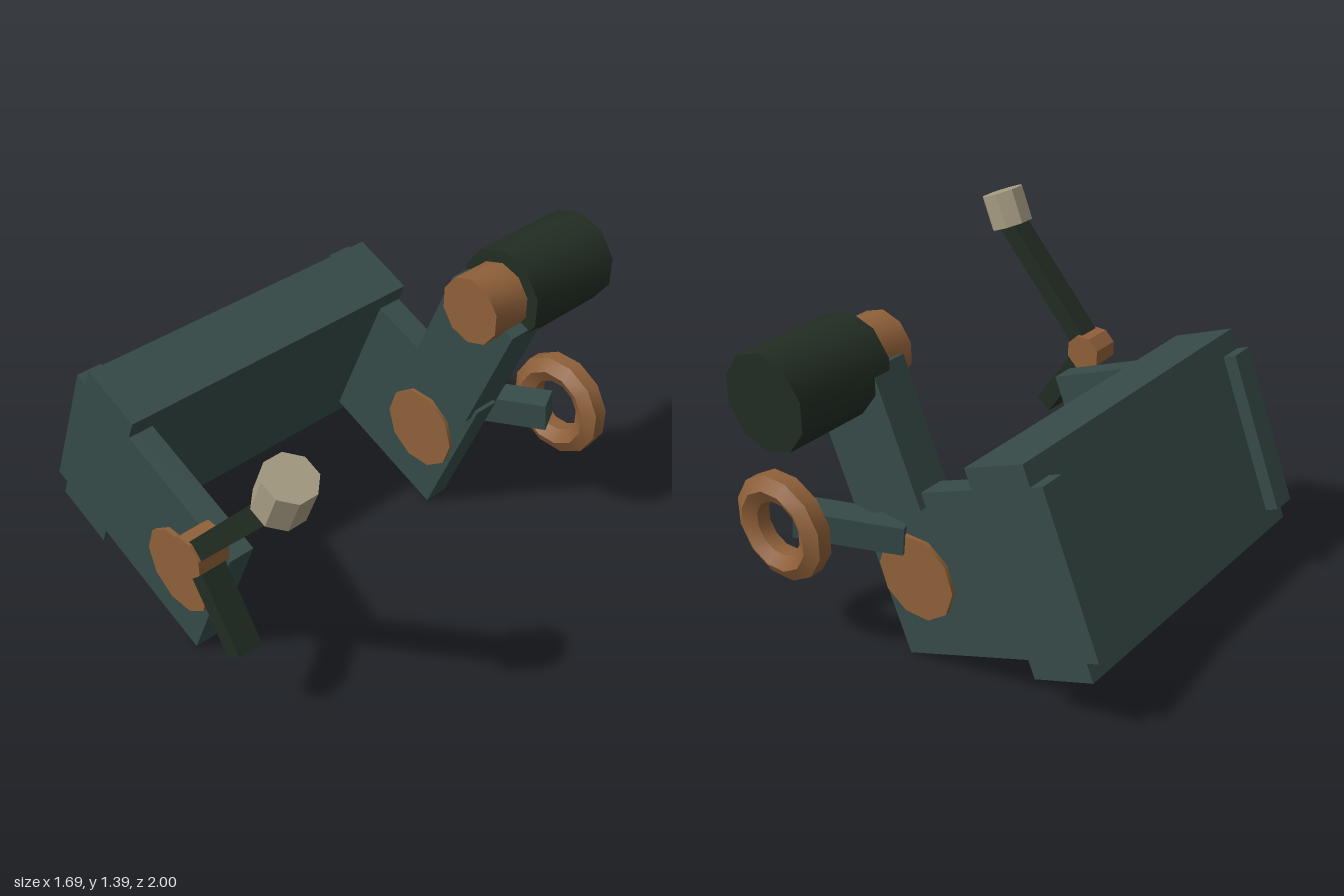
import * as THREE from 'three';
import { toCreasedNormals } from 'three/addons/utils/BufferGeometryUtils.js';

const TILT = -0.385; // lean of the whole machine, about z

export function createModel() {
  const model = new THREE.Group();
  model.name = 'crankMachine';

  const mat = (name, color) => {
    const m = new THREE.MeshStandardMaterial({ color });
    m.name = name;
    return m;
  };
  const teal = mat('darkTeal', 0x364b48);
  const copper = mat('copper', 0x8f6039);
  const dark = mat('blackGreen', 0x222d23);
  const cream = mat('cream', 0xa69c82);

  const add = (name, geometry, material, x, y, z, rotZ = 0) => {
    const mesh = new THREE.Mesh(toCreasedNormals(geometry, 0.7), material);
    mesh.name = name;
    mesh.position.set(x, y, z);
    mesh.rotation.z = rotZ;
    model.add(mesh);
    return mesh;
  };
  // Box leaning in the xy plane, spanning z0..z1
  const slab = (name, material, x, y, w, h, z0, z1, rotZ = TILT) =>
    add(name, new THREE.BoxGeometry(w, h, z1 - z0), material, x, y, (z0 + z1) / 2, rotZ);
  // Faceted cylinder along z, spanning z0..z1
  const drum = (name, material, x, y, r, sides, phase, z0, z1) =>
    add(name, new THREE.CylinderGeometry(r, r, z1 - z0, sides, 1, false, phase).rotateX(Math.PI / 2),
      material, x, y, (z0 + z1) / 2);
  // Box bar between two points in the xy plane
  const bar = (name, material, x0, y0, x1, y1, w, z0, z1) =>
    slab(name, material, (x0 + x1) / 2, (y0 + y1) / 2, w, Math.hypot(x1 - x0, y1 - y0), z0, z1,
      -Math.atan2(x1 - x0, y1 - y0));

  // Frame: spine block joining two side plates
  slab('spineBlock', teal, -0.5325, 0.6125, 0.28, 0.85, -0.599, 0.819);
  slab('frontPlate', teal, -0.27, 0.503, 0.963, 0.682, 0.71, 0.82);
  slab('backPlate', teal, -0.27, 0.503, 0.963, 0.682, -0.6, -0.49);

  // Bearing discs through each plate
  drum('frontBearing', copper, -0.006, 0.394, 0.183, 10, Math.PI / 10, 0.697, 0.84);
  drum('backBearing', copper, -0.006, 0.394, 0.183, 10, Math.PI / 10, -0.617, -0.475);

  // Motor on its support arm
  slab('motorArm', teal, 0.21, 0.912, 0.35, 0.555, -0.63, -0.46);
  drum('motorBody', dark, 0.324, 1.195, 0.193, 10, 0, -1, -0.55);
  drum('motorNose', copper, 0.324, 1.195, 0.141, 10, 0, -0.551, -0.375);

  // Hand wheel: hexagonal section swept round in twelve steps
  const section = [];
  for (let i = 0; i <= 6; i++) {
    const a = Math.PI / 2 - (i * Math.PI) / 3;
    section.push(new THREE.Vector2(0.168 - 0.062 * Math.cos(a), 0.062 * Math.sin(a)));
  }
  section.reverse();
  const ring = new THREE.LatheGeometry(section, 12);
  ring.rotateY(Math.PI / 12);
  ring.rotateX(Math.PI / 2);
  // Make the faces point outwards whichever way the section runs
  const p = ring.attributes.position, idx = ring.index.array;
  let volume = 0;
  const [a, b, c] = [0, 1, 2].map(() => new THREE.Vector3());
  for (let i = 0; i < idx.length; i += 3) {
    a.fromBufferAttribute(p, idx[i]);
    b.fromBufferAttribute(p, idx[i + 1]);
    c.fromBufferAttribute(p, idx[i + 2]);
    volume += a.dot(b.cross(c));
  }
  if (volume < 0) {
    for (let i = 0; i < idx.length; i += 3) [idx[i], idx[i + 1]] = [idx[i + 1], idx[i]];
  }
  add('handWheel', ring, copper, 0.438, 0.582, -0.857);

  // Angled stem carrying the hand wheel
  const from = new THREE.Vector3(0.058, 0.55, -0.582);
  const to = new THREE.Vector3(0.445, 0.582, -0.78);
  const stem = add('wheelStem', new THREE.BoxGeometry(0.12, 0.12, from.distanceTo(to)), teal,
    (from.x + to.x) / 2, (from.y + to.y) / 2, (from.z + to.z) / 2);
  stem.lookAt(to);

  // Front crank: hub, two bars and a grip
  drum('crankHub', copper, 0.25, 0.72, 0.085, 8, Math.PI / 8, 0.84, 0.975);
  bar('crankUpperBar', dark, 0.29, 0.767, 0.7, 1.225, 0.08, 0.857, 0.963);
  bar('crankLowerBar', dark, 0.29, 0.665, 0.48, 0.386, 0.085, 0.857, 0.963);
  add('crankGrip', new THREE.CylinderGeometry(0.098, 0.098, 0.157, 8, 1, false, Math.PI / 8), cream,
    0.731, 1.288, 0.909, TILT);

  return model;
}
